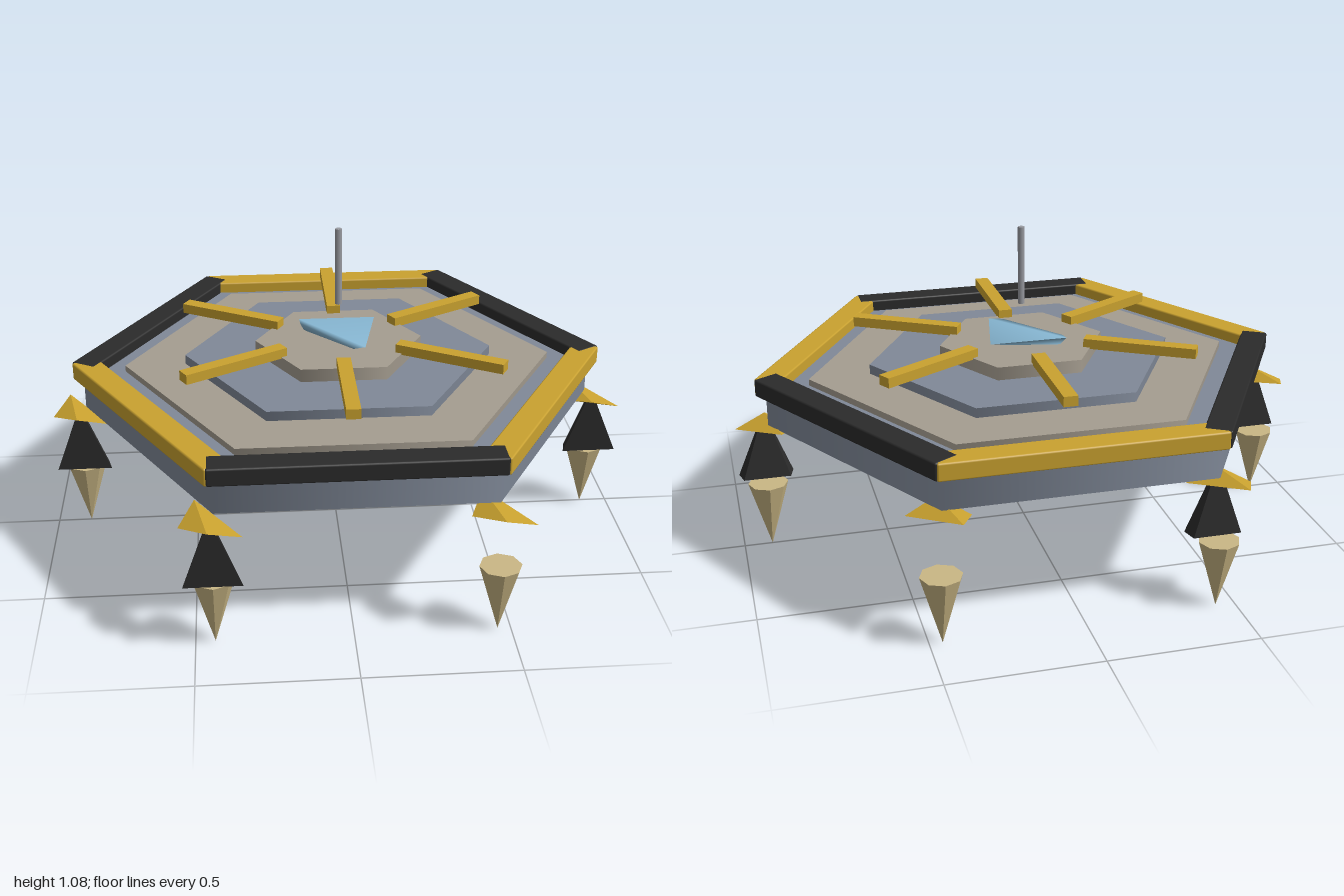
import * as THREE from 'three';
import { mergeVertices } from 'three/addons/utils/BufferGeometryUtils.js';
import { RoundedBoxGeometry } from 'three/addons/geometries/RoundedBoxGeometry.js';
import { ConvexGeometry } from 'three/addons/geometries/ConvexGeometry.js';

const mat = (name, color, extra = {}) => {
  const m = new THREE.MeshStandardMaterial({ color, ...extra });
  m.name = name;
  return m;
};

// Convex solid from a few corner points
const hull = (pts) => new ConvexGeometry(pts.map((p) => new THREE.Vector3(...p)));

export function createModel() {
  const slate = mat('slate', 0x808998);
  const stone = mat('stone', 0xa59d90);
  const gold = mat('gold', 0xcaa22f);
  const black = mat('black', 0x2b2b2b);
  const sand = mat('sand', 0xcab785, { flatShading: true });
  const steel = mat('steel', 0x9a9ca2);
  const blue = mat('blue', 0x88b8d4);

  const model = new THREE.Group();
  model.name = 'hexagonalPlatform';
  const deck = new THREE.Group();
  deck.name = 'deck';
  deck.position.set(0.01, 0, -0.008);
  model.add(deck);

  const add = (parent, name, geometry, material, x = 0, y = 0, z = 0) => {
    const mesh = new THREE.Mesh(geometry, material);
    mesh.name = name;
    mesh.position.set(x, y, z);
    parent.add(mesh);
    return mesh;
  };

  // Stacked hexagonal slabs with corners on the x axis
  const slab = (name, radius, y0, y1, material) => {
    const g = new THREE.CylinderGeometry(radius, radius, y1 - y0, 6).rotateY(Math.PI / 6);
    add(deck, name, g, material, 0, (y0 + y1) / 2, 0);
  };
  slab('baseSlab', 0.882, 0.45, 0.58, slate);
  slab('lowerStep', 0.737, 0.57, 0.602, stone);
  slab('middleStep', 0.53, 0.59, 0.635, slate);
  slab('upperStep', 0.287, 0.625, 0.68, stone);

  // Alternating edge rails and radial bars
  const railGeo = new RoundedBoxGeometry(0.915, 0.06, 0.09, 1, 0.006);
  const barGeo = new THREE.BoxGeometry(0.047, 0.034, 0.385);
  for (let i = 0; i < 6; i++) {
    const a = (i * Math.PI) / 3;
    const s = Math.sin(a), c = Math.cos(a);
    // a hair of height difference keeps the overlapping ends clean
    const rail = add(deck, 'edgeRail', railGeo, i % 2 ? gold : black,
      s * 0.752, i % 2 ? 0.589 : 0.59, c * 0.752);
    rail.rotation.y = a;
    const bar = add(deck, 'radialBar', barGeo, gold, s * 0.418, 0.692, c * 0.418);
    bar.rotation.y = a;
  }

  // Centre crystal with softened facets
  const crystal = hull([
    [-0.13, 0.71, -0.11], [0.135, 0.71, -0.11], [0.08, 0.71, 0.15],
    [0.03, 0.708, 0.137], [-0.128, 0.708, -0.075],
    [-0.115, 0.678, -0.085], [0.04, 0.678, -0.05], [0.045, 0.678, 0.09],
  ]);
  crystal.deleteAttribute('normal');
  crystal.deleteAttribute('uv');
  const softCrystal = mergeVertices(crystal);
  softCrystal.computeVertexNormals();
  add(deck, 'crystal', softCrystal, blue);

  // Floating mast
  add(deck, 'mast', new THREE.CylinderGeometry(0.012, 0.012, 0.27, 8), steel, 0, 0.945, 0);

  // Corner brackets, struts and downward spikes, all facing the same way
  const bracketGeo = hull([
    [-0.1, 0.422, 0.01], [0.095, 0.415, 0.065], [-0.05, 0.452, -0.105], [-0.01, 0.452, 0.102],
  ]);
  const strutGeo = hull([
    [-0.093, 0.243, 0.065], [0.093, 0.243, 0.065], [-0.08, 0.243, 0.013], [0.08, 0.243, 0.013],
    [-0.018, 0.44, 0.058], [0.012, 0.44, 0.058], [-0.018, 0.44, 0.042], [0.012, 0.44, 0.042],
  ]);
  const spikeGeo = new THREE.ConeGeometry(0.068, 0.235, 8).rotateX(Math.PI);
  for (let i = 0; i < 6; i++) {
    const a = (i * Math.PI) / 3;
    const x = 0.01 + 0.895 * Math.cos(a), z = 0.895 * Math.sin(a);
    const corner = new THREE.Group();
    corner.name = 'cornerSupport';
    corner.position.set(x, 0, z);
    model.add(corner);
    add(corner, 'bracket', bracketGeo, gold);
    // the two +x diagonal corners carry no strut
    if (i !== 1 && i !== 5) add(corner, 'strut', strutGeo, black);
    add(corner, 'spike', spikeGeo, sand, 0, 0.1175, 0);
  }
  return model;
}
